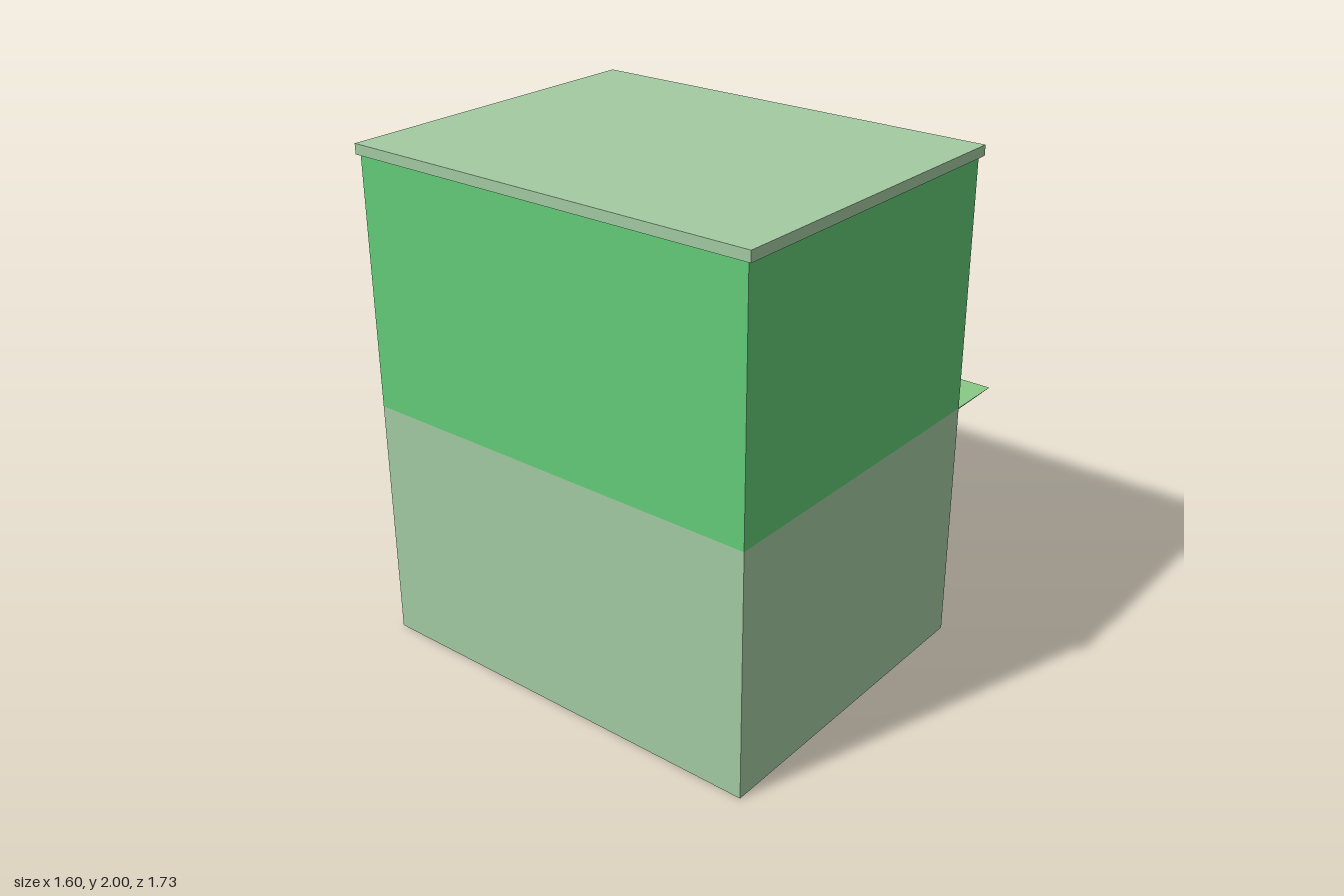
import * as THREE from 'three';

const D = THREE.DoubleSide;

export function createModel() {
  const mats = {
    paleGreen: new THREE.MeshStandardMaterial({ color: 0xa3caa1, side: D }),
    brightGreen: new THREE.MeshStandardMaterial({ color: 0x62cb77, side: D }),
    counterGreen: new THREE.MeshStandardMaterial({ color: 0x88c986 }),
    metalGrey: new THREE.MeshStandardMaterial({ color: 0xc9c9c9 }),
  };
  for (const [name, m] of Object.entries(mats)) m.name = name;

  const model = new THREE.Group();
  model.name = 'kiosk';

  const add = (name, geo, mat, parent = model) => {
    const mesh = new THREE.Mesh(geo, mat);
    mesh.name = name;
    parent.add(mesh);
    return mesh;
  };
  // Box given by its extents
  const box = (name, mat, x0, x1, y0, y1, z0, z1, parent) => {
    const mesh = add(name, new THREE.BoxGeometry(x1 - x0, y1 - y0, z1 - z0), mat, parent);
    mesh.position.set((x0 + x1) / 2, (y0 + y1) / 2, (z0 + z1) / 2);
    return mesh;
  };
  const shape = (pts) => new THREE.Shape(pts.map(([a, b]) => new THREE.Vector2(a, b)));

  const xl = -0.79, xr = 0.55, zw = 0.85, zo = 0.61, ySplit = 0.98, yTop = 1.96;
  const depth = 0.045, xb = xr - depth;

  // Thin shell walls in two colour bands, open at the bottom
  const bands = [
    ['lower', 0, ySplit, mats.paleGreen],
    ['upper', ySplit, yTop, mats.brightGreen],
  ];
  for (const [band, y0, y1, mat] of bands) {
    const yc = (y0 + y1) / 2, h = y1 - y0;
    for (const s of [1, -1]) {
      const wall = add(band + (s > 0 ? 'FrontWall' : 'BackWall'), new THREE.PlaneGeometry(xr - xl, h), mat);
      wall.position.set((xl + xr) / 2, yc, s * zw);
      if (s < 0) wall.rotation.y = Math.PI;
    }
    const left = add(band + 'RearWall', new THREE.PlaneGeometry(2 * zw, h), mat);
    left.position.set(xl, yc, 0);
    left.rotation.y = -Math.PI / 2;
  }

  // Serving wall with the opening cut out
  const lowerSides = [1, -1].map((s) =>
    shape([[s * zo, 0], [s * zw, 0], [s * zw, ySplit], [s * zo, ySplit]]));
  const upperArch = shape([
    [-zw, ySplit], [-zo, ySplit], [-zo, 1.5], [zo, 1.5],
    [zo, ySplit], [zw, ySplit], [zw, yTop], [-zw, yTop],
  ]);
  for (const [name, s, mat] of [
    ['lowerServingWall', lowerSides, mats.paleGreen],
    ['upperServingWall', upperArch, mats.brightGreen],
  ]) {
    add(name, new THREE.ShapeGeometry(s).rotateY(Math.PI / 2), mat).position.x = xr;
  }

  // Roof slab
  box('roof', mats.paleGreen, -0.8, 0.565, yTop, 2, -0.865, 0.865);

  // Recess lining
  const lining = new THREE.Group();
  lining.name = 'recessLining';
  model.add(lining);
  for (const s of [1, -1]) {
    const z = s * (zo + 0.003);
    box('jamb', mats.metalGrey, xb - 0.01, xr - 0.002, 0, 1.5, z - 0.003, z + 0.003, lining);
  }
  box('lintel', mats.metalGrey, xb - 0.01, xr - 0.002, 1.5, 1.506, -zo, zo, lining);
  box('sill', mats.paleGreen, xb - 0.01, xr, 0, 0.004, -zo, zo, lining);

  // Framed shutter above the counter
  const shutter = new THREE.Group();
  shutter.name = 'shutter';
  model.add(shutter);
  box('shutterPanel', mats.metalGrey, xb - 0.01, xb, ySplit, 1.48, -0.59, 0.59, shutter);
  box('shutterFrameTop', mats.metalGrey, xb - 0.01, xb + 0.015, 1.48, 1.5, -zo, zo, shutter);

  // Double doors below the counter
  const doors = new THREE.Group();
  doors.name = 'doors';
  model.add(doors);
  box('doorBacking', mats.metalGrey, xb - 0.02, xb - 0.01, 0.004, 0.735, -zo, zo, doors);
  box('doorFrameTop', mats.metalGrey, xb - 0.01, xb + 0.015, 0.7, 0.735, -zo, zo, doors);

  const handleBar = new THREE.CylinderGeometry(0.012, 0.012, 0.24, 12);
  const handlePost = new THREE.CylinderGeometry(0.008, 0.008, 0.05, 8).rotateZ(Math.PI / 2);
  for (const s of [1, -1]) {
    const span = (a, b) => (s > 0 ? [a, b] : [-b, -a]);
    box('shutterFrameSide', mats.metalGrey, xb - 0.01, xb + 0.015, ySplit, 1.48, ...span(0.59, zo), shutter);
    box('doorFrameSide', mats.metalGrey, xb - 0.01, xb + 0.015, 0.004, 0.7, ...span(0.58, zo), doors);
    box('doorPanel', mats.metalGrey, xb - 0.01, xb, 0.004, 0.7, ...span(0.003, 0.58), doors);
    add('doorHandle', handleBar, mats.metalGrey, doors).position.set(0.553, 0.32, s * 0.073);
    for (const y of [0.25, 0.39]) {
      add('handlePost', handlePost, mats.metalGrey, doors).position.set(0.527, y, s * 0.073);
    }
  }

  // Counter: trapezoid section carried outwards from the serving wall
  const trapezoid = shape([[-zo, 0.73], [zo, 0.73], [zw, ySplit], [-zw, ySplit]]);
  const slab = (d) =>
    new THREE.ExtrudeGeometry(trapezoid, { depth: d, bevelEnabled: false }).rotateY(Math.PI / 2);
  add('counter', slab(0.233), mats.counterGreen).position.x = xr + 0.002;
  box('counterInner', mats.counterGreen, xb - 0.01, xr + 0.004, 0.735, ySplit, -zo, zo);

  // Front panel of the counter, tapered towards its outer face
  const panel = slab(0.015);
  const p = panel.attributes.position;
  for (let i = 0; i < p.count; i++) {
    if (p.getX(i) > 0.007) {
      p.setY(i, 0.855 + (p.getY(i) - 0.855) * 0.93);
      p.setZ(i, p.getZ(i) * 0.978);
    }
  }
  panel.computeVertexNormals();
  add('counterFrontPanel', panel, mats.metalGrey).position.x = 0.785;

  return model;
}
